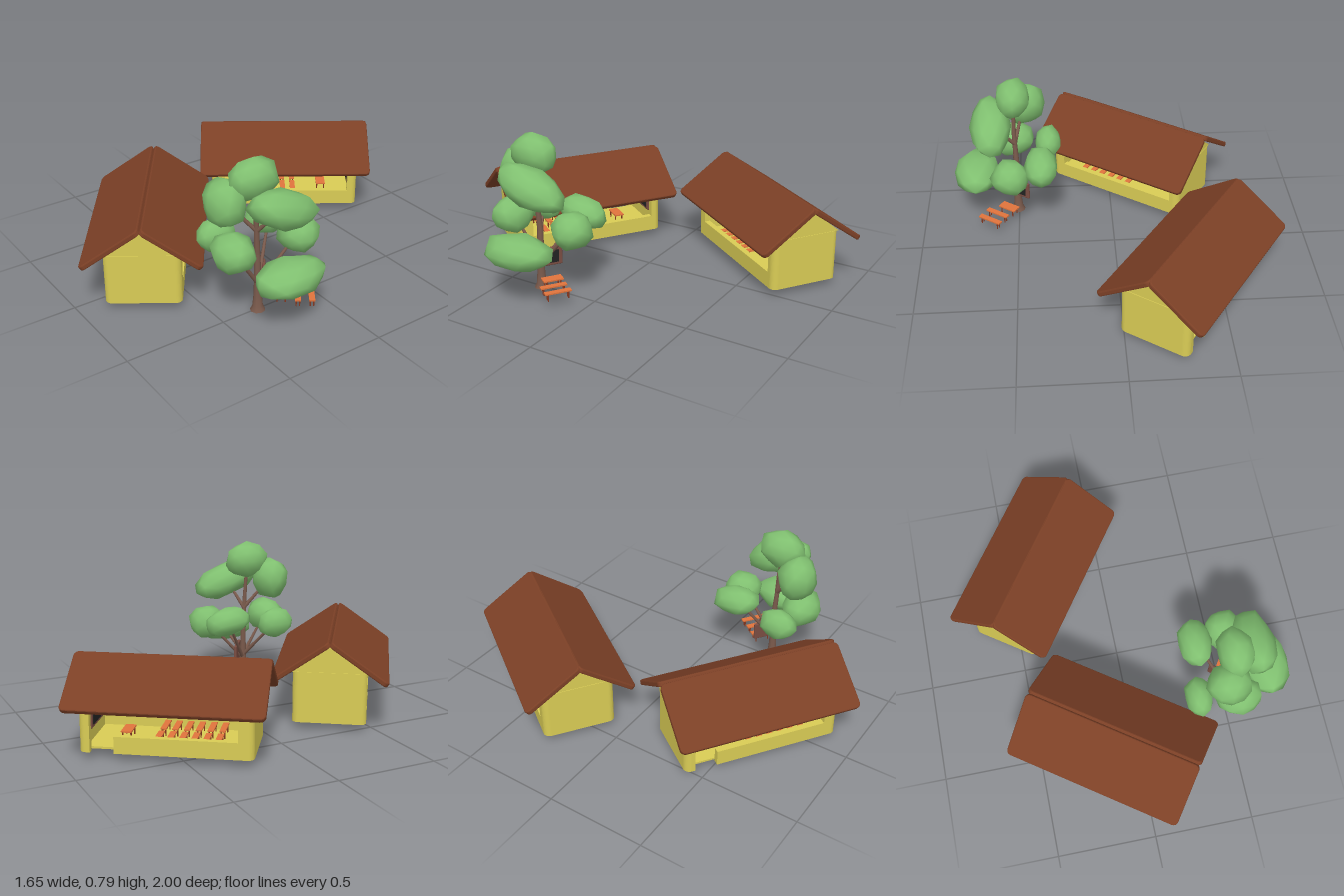
import * as THREE from 'three';
import { mergeVertices } from 'three/addons/utils/BufferGeometryUtils.js';
import { RoundedBoxGeometry } from 'three/addons/geometries/RoundedBoxGeometry.js';

const material = (name, color) => Object.assign(new THREE.MeshStandardMaterial({ color }), { name });
const M = {
  wall: material('yellow plaster', 0xd9cc55),
  roof: material('brown roof', 0x7c4026),
  leaf: material('leaf green', 0x80c070),
  bark: material('bark brown', 0x7a5a4c),
  wood: material('orange wood', 0xe0743c),
  leg: material('red brown legs', 0x8a3a22),
  frame: material('board frame', 0x7a4d42),
  slate: material('slate', 0x222222),
};

const HL = 0.395, HW = 0.18, T = 0.03;       // half length, half width, wall thickness
const Y0 = 0.035, SILL = 0.115, HEAD = 0.26, TOP = 0.29;
const OPEN_L = -0.345, OPEN_R = 0.325;       // ends of the side openings
const TILT = Math.PI / 5.15;

function add(parent, name, geometry, mat, x = 0, y = 0, z = 0) {
  const mesh = new THREE.Mesh(geometry, mat);
  mesh.name = name;
  mesh.position.set(x, y, z);
  parent.add(mesh);
  return mesh;
}

function group(parent, name, x = 0, y = 0, z = 0, ry = 0) {
  const g = new THREE.Group();
  g.name = name;
  g.position.set(x, y, z);
  g.rotation.y = ry;
  parent.add(g);
  return g;
}

// box given by its limits
function block(parent, name, mat, x0, x1, y0, y1, z0, z1) {
  add(parent, name, new THREE.BoxGeometry(x1 - x0, y1 - y0, z1 - z0), mat, (x0 + x1) / 2, (y0 + y1) / 2, (z0 + z1) / 2);
}

// U-shaped end wall with rounded outer corners, legs reaching inward
function endWall(parent, leg, turned) {
  const r = 0.032, s = new THREE.Shape();
  s.moveTo(-HL + leg, -HW);
  s.lineTo(-HL + leg, -HW + T);
  s.lineTo(-HL + T, -HW + T);
  s.lineTo(-HL + T, HW - T);
  s.lineTo(-HL + leg, HW - T);
  s.lineTo(-HL + leg, HW);
  s.lineTo(-HL + r, HW);
  s.absarc(-HL + r, HW - r, r, Math.PI / 2, Math.PI, false);
  s.absarc(-HL + r, -HW + r, r, Math.PI, Math.PI * 1.5, false);
  const g = new THREE.ExtrudeGeometry(s, { depth: TOP - Y0, bevelEnabled: false, curveSegments: 5 });
  g.rotateX(-Math.PI / 2);
  if (turned) g.rotateY(Math.PI);
  add(parent, 'endWall', g, M.wall, 0, Y0, 0);
}

// roof slab with rounded corners, hinged at the ridge
function roofPanel(parent, side, gap) {
  const l = 0.91, w = 0.337, d = 0.026, b = 0.006, r = 0.02;
  const x = l / 2 - b, y = w / 2 - b, s = new THREE.Shape();
  s.absarc(x - r, y - r, r, 0, Math.PI / 2, false);
  s.absarc(-x + r, y - r, r, Math.PI / 2, Math.PI, false);
  s.absarc(-x + r, -y + r, r, Math.PI, Math.PI * 1.5, false);
  s.absarc(x - r, -y + r, r, Math.PI * 1.5, Math.PI * 2, false);
  const g = new THREE.ExtrudeGeometry(s, { depth: d - 2 * b, bevelSize: b, bevelThickness: b, bevelSegments: 2, curveSegments: 4 });
  g.rotateX(-Math.PI / 2).translate(0, b - d, w / 2);
  g.rotateX(TILT).translate(0, 0, gap);
  if (side < 0) g.rotateY(Math.PI);
  add(parent, 'roofPanel', g, M.roof, 0, 0.455, 0);
}

// framed board facing +x
function board(parent, x, y, w, h) {
  const g = group(parent, 'board', x, y, 0);
  add(g, 'boardFrame', new RoundedBoxGeometry(0.016, h, w, 2, 0.006), M.frame);
  add(g, 'boardSlate', new THREE.BoxGeometry(0.006, h - 0.03, w - 0.04), M.slate, 0.007, 0, 0);
}

// plank top on four legs, long side across z
function table(parent, name, x, y, z, w, l) {
  const g = group(parent, name, x, y, z);
  add(g, 'plank', new THREE.BoxGeometry(w, 0.007, l), M.wood, 0, 0.038, 0);
  for (const sx of [-1, 1]) for (const sz of [-1, 1])
    add(g, 'leg', new THREE.CylinderGeometry(0.004, 0.003, 0.035, 6), M.leg, sx * (w / 2 - 0.006), 0.0175, sz * (l / 2 - 0.015));
}

function house(parent, name, x, z, ry, gap) {
  const h = group(parent, name, x, 0, z, ry);
  endWall(h, OPEN_L + HL, false);
  endWall(h, HL - OPEN_R, true);
  // side walls: low parapet and top band, with a doorway on one side
  for (const s of [-1, 1]) {
    const z0 = s > 0 ? HW - T : -HW, z1 = z0 + T;
    block(h, 'parapet', M.wall, s > 0 ? -0.235 : OPEN_L, OPEN_R, Y0, SILL, z0, z1);
    block(h, 'topBand', M.wall, OPEN_L, OPEN_R, HEAD, TOP, z0, z1);
  }
  block(h, 'floor', M.wall, -HL + T, HL - T, 0.044, 0.054, -HW + T, HW - T);
  // gabled attic
  const s = new THREE.Shape([[-HW, 0], [HW, 0], [0, 0.147]].map(p => new THREE.Vector2(...p)));
  const attic = new THREE.ExtrudeGeometry(s, { depth: 2 * HL - 0.006, bevelEnabled: false });
  attic.translate(0, 0, -HL + 0.003).rotateY(Math.PI / 2);
  add(h, 'attic', attic, M.wall, 0, TOP - 0.002, 0);
  for (const side of [-1, 1]) roofPanel(h, side, gap);
  // classroom furniture
  board(h, -HL + T + 0.008, 0.19, 0.235, 0.135);
  table(h, 'desk', -0.21, 0.054, 0, 0.05, 0.1);
  for (let i = 0; i < 6; i++) for (const sz of [-1, 1])
    table(h, 'bench', -0.05 + i * 0.055, 0.054, sz * 0.075, 0.028, 0.12);
}

// faceted leaf clump: x, y, z, radii, tilt about x
const CLUMPS = [
  [0.50, 0.69, 0.33, 0.09, 0.095, 0.12, 0],
  [0.45, 0.585, 0.45, 0.11, 0.115, 0.095, 0],
  [0.62, 0.565, 0.26, 0.10, 0.09, 0.19, -0.35],
  [0.37, 0.385, 0.15, 0.085, 0.075, 0.13, -0.15],
  [0.52, 0.365, 0.455, 0.12, 0.09, 0.095, 0],
  [0.71, 0.275, 0.28, 0.115, 0.08, 0.18, 0],
  [0.53, 0.355, 0.10, 0.095, 0.09, 0.10, 0],
  [0.33, 0.36, 0.42, 0.07, 0.08, 0.10, 0],
];

function limb(parent, name, points, r0, r1) {
  const v = points.map(p => new THREE.Vector3(...p));
  for (let i = 0; i < v.length - 1; i++) {
    const n = v.length - 1, a = r0 + (r1 - r0) * i / n, b = r0 + (r1 - r0) * (i + 1) / n;
    const d = v[i + 1].clone().sub(v[i]);
    const m = add(parent, name, new THREE.CylinderGeometry(b, a, d.length(), 8), M.bark);
    m.position.copy(v[i]).addScaledVector(d, 0.5);
    m.quaternion.setFromUnitVectors(new THREE.Vector3(0, 1, 0), d.normalize());
  }
}

function tree(parent) {
  const t = group(parent, 'tree');
  const trunk = [[0.036, 0], [0.025, 0.025], [0.02, 0.08], [0.018, 0.15]].map(p => new THREE.Vector2(...p));
  add(t, 'trunk', new THREE.LatheGeometry(trunk, 9), M.bark, 0.505, 0, 0.31);
  limb(t, 'upperTrunk', [[0.505, 0.14, 0.31], [0.5, 0.3, 0.31], [0.505, 0.47, 0.32], [0.5, 0.65, 0.33]], 0.018, 0.008);
  CLUMPS.forEach(([x, y, z, rx, ry, rz, tilt], i) => {
    const fork = i < 3 ? [0.503, 0.42, 0.315] : [0.505, 0.13 + 0.015 * (i % 3), 0.31];
    const mid = [(x + fork[0]) / 2, (y + fork[1]) / 2, (z + fork[2]) / 2];
    if (i > 0) limb(t, 'branch', [fork, mid, [x, y, z]], 0.011, 0.005);
    let g = new THREE.IcosahedronGeometry(1, 1);
    g.deleteAttribute('normal');
    g.deleteAttribute('uv');
    g = mergeVertices(g);
    // uneven clump outline
    const p = g.attributes.position;
    for (let k = 0; k < p.count; k++) {
      const f = 1.01 + 0.07 * Math.sin(k * 2.4 + i * 1.7);
      p.setXYZ(k, p.getX(k) * f, p.getY(k) * f, p.getZ(k) * f);
    }
    g.scale(rx, ry, rz).rotateX(tilt);
    g.computeVertexNormals();
    add(t, 'leafClump', g, M.leaf, x, y, z);
  });
}

export function createModel() {
  const model = new THREE.Group();
  model.name = 'schoolYard';
  const turn = -34.85 * Math.PI / 180;
  house(model, 'frontHouse', -0.123, 0.517, turn, 0.009);
  house(model, 'backHouse', -0.349, -0.483, turn - Math.PI / 2, 0);
  tree(model);
  // open-air class beside the tree
  const yard = group(model, 'openAirClass', 0.505, 0, 0.275, turn + Math.PI / 2);
  board(yard, 0, 0.17, 0.16, 0.095);
  table(yard, 'desk', 0.08, 0.05, 0, 0.05, 0.1);
  table(yard, 'bench', 0.155, 0.05, 0.02, 0.028, 0.13);
  table(yard, 'bench', 0.22, 0.05, 0.02, 0.028, 0.13);
  return model;
}
